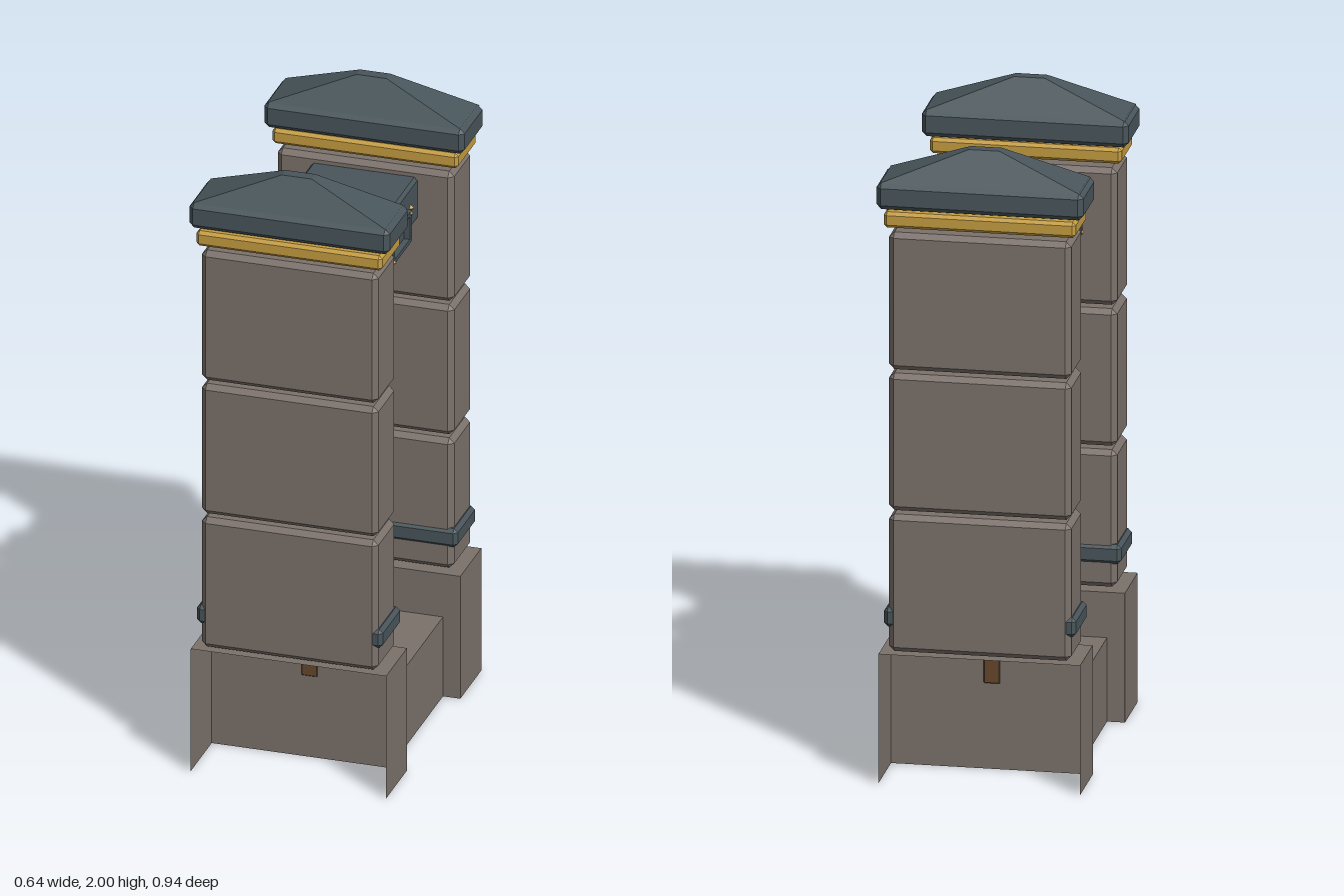
import * as THREE from 'three';
import { ConvexGeometry } from 'three/addons/geometries/ConvexGeometry.js';

function material(name, color, side = THREE.FrontSide) {
  const m = new THREE.MeshStandardMaterial({ color, side });
  m.name = name;
  return m;
}

// Box with all edges cut at 45 degrees
function chamferBox(w, h, d, c) {
  const points = [];
  for (const sx of [-1, 1]) for (const sy of [-1, 1]) for (const sz of [-1, 1]) {
    const x = w / 2, y = h / 2, z = d / 2;
    points.push(
      new THREE.Vector3(sx * x, sy * (y - c), sz * (z - c)),
      new THREE.Vector3(sx * (x - c), sy * y, sz * (z - c)),
      new THREE.Vector3(sx * (x - c), sy * (y - c), sz * z));
  }
  return new ConvexGeometry(points);
}

// Hipped roof with a small flat top, standing on y = 0
function hippedRoof(w, d, topW, topD, h) {
  const points = [];
  for (const sx of [-0.5, 0.5]) for (const sz of [-0.5, 0.5]) {
    points.push(new THREE.Vector3(sx * w, 0, sz * d), new THREE.Vector3(sx * topW, h, sz * topD));
  }
  return new ConvexGeometry(points);
}

export function createModel() {
  const stone = material('stone', 0x7b716b, THREE.DoubleSide);
  const steel = material('blueGreySteel', 0x48555b);
  const brass = material('brass', 0xc59d40);
  const wood = material('wood', 0x65472c);
  const model = new THREE.Group();
  model.name = 'gate';

  function add(parent, name, geometry, mat, x, y, z) {
    const mesh = new THREE.Mesh(geometry, mat);
    mesh.name = name;
    mesh.position.set(x, y, z);
    parent.add(mesh);
    return mesh;
  }

  // Open stone shell: a top and side walls
  function wall(parent, name, w, h, x, y, z, rx, ry) {
    add(parent, name, new THREE.PlaneGeometry(w, h), stone, x, y, z).rotation.set(rx, ry, 0);
  }

  // Two pillars facing each other along z
  for (const s of [1, -1]) {
    const pillar = new THREE.Group();
    pillar.name = s > 0 ? 'frontPillar' : 'backPillar';
    model.add(pillar);

    // Plinth, open at the bottom and on its outer side
    wall(pillar, 'plinthTop', 0.62, 0.206, 0, 0.41, s * 0.365, -Math.PI / 2, 0);
    wall(pillar, 'plinthInnerWall', 0.62, 0.41, 0, 0.205, s * 0.262, 0, s > 0 ? Math.PI : 0);
    for (const sx of [1, -1]) {
      wall(pillar, 'plinthSide', 0.206, 0.41, sx * 0.31, 0.205, s * 0.365, 0, sx * Math.PI / 2);
    }

    // Stacked blocks
    for (let i = 0; i < 3; i++) {
      add(pillar, 'stoneBlock', chamferBox(0.56, 0.435, 0.186, 0.016), stone, 0, 0.635 + i * 0.447, s * 0.373);
    }

    // Clamp around the inner face and sides
    add(pillar, 'clamp', chamferBox(0.59, 0.062, 0.192, 0.012), steel, 0, 0.525, s * 0.368);

    // Brass band and cap
    add(pillar, 'brassBand', chamferBox(0.59, 0.05, 0.188, 0.01), brass, 0, 1.787, s * 0.374);
    add(pillar, 'capSlab', chamferBox(0.636, 0.084, 0.205, 0.015), steel, 0, 1.86, s * 0.3675);
    add(pillar, 'capRoof', hippedRoof(0.615, 0.18, 0.095, 0.036, 0.1), steel, 0, 1.9, s * 0.3675);
  }

  // Sill between the plinths, hollow from below
  wall(model, 'sillTop', 0.51, 0.524, 0, 0.266, 0, -Math.PI / 2, 0);
  for (const sx of [1, -1]) {
    wall(model, 'sillSide', 0.524, 0.266, sx * 0.255, 0.133, 0, 0, sx * Math.PI / 2);
  }

  // Door of three planks
  const door = new THREE.Group();
  door.name = 'door';
  model.add(door);
  for (const i of [-1, 0, 1]) {
    add(door, 'plank', chamferBox(0.056, 1.283, 0.169, 0.005), wood, 0, 0.91, i * 0.18);
  }

  // Straps with studs on both faces
  const stud = new THREE.OctahedronGeometry(0.013);
  for (const y of [1.27, 0.538]) {
    add(door, 'strap', chamferBox(0.084, 0.058, 0.53, 0.006), steel, 0, y, 0);
    for (const sx of [1, -1]) for (const i of [-1, 0, 1]) {
      add(door, 'strapStud', stud, brass, sx * 0.042, y, i * 0.178);
    }
  }

  // Lintel beam
  const lintel = new THREE.Group();
  lintel.name = 'lintel';
  model.add(lintel);
  add(lintel, 'beam', chamferBox(0.338, 0.144, 0.572, 0.01), steel, 0, 1.648, 0);

  // Plain framed plaque with studs on each side of the beam
  const frame = new THREE.Shape();
  frame.moveTo(-0.094, -0.052).lineTo(0.094, -0.052).lineTo(0.094, 0.052).lineTo(-0.094, 0.052).closePath();
  const hole = new THREE.Path();
  hole.moveTo(-0.072, -0.038).lineTo(-0.072, 0.038).lineTo(0.072, 0.038).lineTo(0.072, -0.038).closePath();
  frame.holes.push(hole);
  const frameGeometry = new THREE.ExtrudeGeometry(frame, { depth: 0.02, bevelEnabled: false });
  const smallStud = new THREE.OctahedronGeometry(0.008);
  for (const sx of [1, -1]) {
    add(lintel, 'plaque', new THREE.BoxGeometry(0.03, 0.104, 0.188), steel, sx * 0.177, 1.65, 0);
    add(lintel, 'plaqueFrame', frameGeometry, steel, sx * 0.191, 1.65, 0).rotation.y = sx * Math.PI / 2;
    for (const s of [1, -1]) {
      add(lintel, 'beamStud', stud, brass, sx * 0.168, 1.65, s * 0.208);
      add(lintel, 'plaqueStud', smallStud, brass, sx * 0.211, 1.65 - s * 0.045, s * 0.083);
    }
  }
  return model;
}
